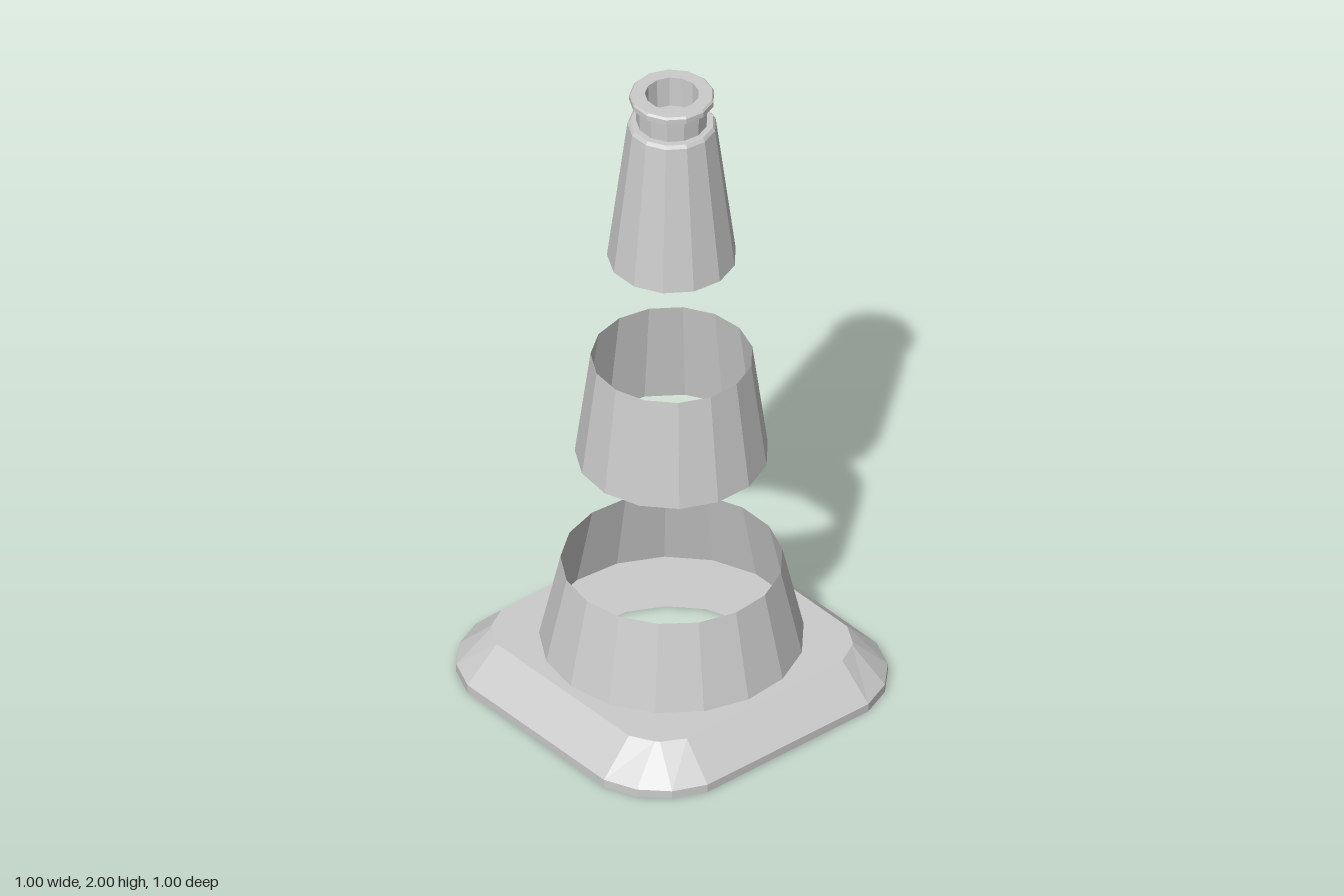
import * as THREE from 'three';

const material = new THREE.MeshStandardMaterial({ color: 0xcccccc, flatShading: true, side: THREE.DoubleSide });
const BASE_SIDES = 17;

function add(group, name, geometry) {
  const mesh = new THREE.Mesh(geometry, material);
  mesh.name = name;
  group.add(mesh);
  return mesh;
}

// Turned shell from [radius, y] pairs
function turned(profile, sides, start = 0) {
  return new THREE.LatheGeometry(profile.map(([r, y]) => new THREE.Vector2(r, y)), sides, start);
}

// Square outline with cut corners: one corner's points, turned four times
function outline(corner) {
  const points = [];
  for (let k = 0; k < 4; k++) {
    for (let [x, z] of corner) {
      for (let n = 0; n < k; n++) [x, z] = [-z, x];
      points.push([x, z]);
    }
  }
  return points;
}

// Band of quads joining equal-length outlines at given heights
function band(rings) {
  const n = rings[0].points.length, positions = [], index = [];
  rings.forEach(({ points, y }, j) => {
    points.forEach(([x, z], i) => {
      positions.push(x, y, z);
      if (j === rings.length - 1) return;
      const a = j * n + i, b = j * n + (i + 1) % n;
      index.push(a, a + n, b, b, a + n, b + n);
    });
  });
  const geometry = new THREE.BufferGeometry();
  geometry.setAttribute('position', new THREE.Float32BufferAttribute(positions, 3));
  geometry.setIndex(index);
  geometry.computeVertexNormals();
  return geometry;
}

// Flat plate with a many-sided hole; dir = 1 faces up, -1 faces down
function plate(points, holeRadius, y, dir) {
  const shape = new THREE.Shape(points.map(([x, z]) => new THREE.Vector2(x, -dir * z)));
  const hole = [];
  for (let i = 0; i < BASE_SIDES; i++) {
    const a = (i / BASE_SIDES) * Math.PI * 2;
    hole.push(new THREE.Vector2(holeRadius * Math.sin(a), -dir * holeRadius * Math.cos(a)));
  }
  shape.holes.push(new THREE.Path(hole));
  return new THREE.ShapeGeometry(shape).rotateX(-dir * Math.PI / 2).translate(0, y, 0);
}

export function createModel() {
  const model = new THREE.Group();
  model.name = 'trafficCone';

  // Hollow foot with bevelled sides
  const foot = new THREE.Group();
  foot.name = 'foot';
  model.add(foot);
  const outer = outline([[0.5, 0.295], [0.46, 0.39], [0.39, 0.46], [0.295, 0.5]]);
  const inner = outline([[0.4, 0.285], [0.363, 0.353], [0.353, 0.363], [0.285, 0.4]]);
  add(foot, 'footSides', band([
    { points: outer, y: 0 }, { points: outer, y: 0.025 }, { points: inner, y: 0.125 },
  ]));
  add(foot, 'footTop', plate(inner, 0.372, 0.125, 1));
  add(foot, 'footUnderside', plate(outer, 0.308, 0, -1));

  // Separate open bands of the cone
  add(model, 'lowerBand', turned([[0.372, 0.125], [0.312, 0.39]], BASE_SIDES));
  add(model, 'middleBand', turned([[0.272, 0.76], [0.228, 1.095]], 15, THREE.MathUtils.degToRad(102)));

  // Top section: cone, shoulder, neck, flange and blind hole
  add(model, 'topSection', turned([
    [0.182, 1.44], [0.125, 1.895], [0.118, 1.905], [0.1, 1.905], [0.103, 1.972],
    [0.12, 1.978], [0.12, 1.994], [0.115, 2], [0.076, 2], [0.074, 1.905], [0, 1.905],
  ], 13, Math.PI));

  return model;
}
